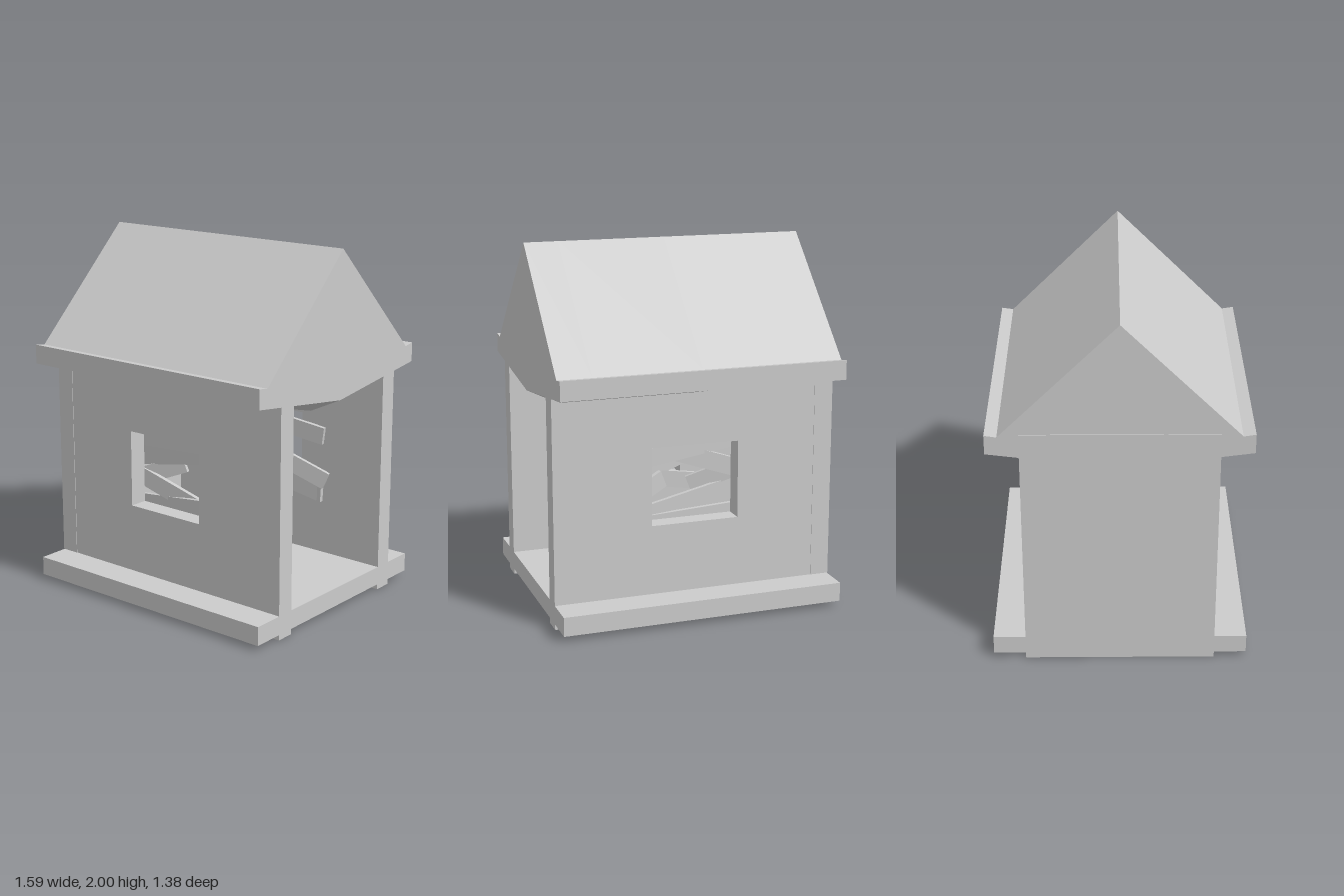
import * as THREE from 'three';

const material = new THREE.MeshStandardMaterial({ color: 0xcccccc, flatShading: true });

function add(parent, name, geometry, x = 0, y = 0, z = 0) {
  const mesh = new THREE.Mesh(geometry, material);
  mesh.name = name;
  mesh.position.set(x, y, z);
  parent.add(mesh);
  return mesh;
}

// Solid roof: gable sections along x whose underside sags in the middle
function roofGeometry() {
  const stations = [[-0.79, 1.195], [-0.2, 1.195], [0, 1.105], [0.6, 1.105], [0.79, 1.195]];
  const sections = stations.map(([x, sag]) => [
    [0, 2], [0.625, 1.38], [0.69, 1.39], [0.69, 1.283],
    [0, sag], [-0.69, 1.283], [-0.69, 1.39], [-0.625, 1.38],
  ].map(([z, y]) => [x, y, z]));
  const n = sections[0].length;
  const positions = [];
  const tri = (a, b, c) => positions.push(...a, ...b, ...c);
  for (let i = 0; i < sections.length - 1; i++) {
    const p = sections[i], q = sections[i + 1];
    for (let j = 0; j < n; j++) {
      const k = (j + 1) % n;
      tri(p[j], p[k], q[k]);
      tri(p[j], q[k], q[j]);
    }
  }
  // Gable ends, fanned from the lowest point of the underside
  const first = sections[0], last = sections[sections.length - 1];
  for (let j = 5; j < 4 + n - 1; j++) {
    const a = j % n, b = (j + 1) % n;
    tri(last[4], last[a], last[b]);
    tri(first[4], first[b], first[a]);
  }
  const geometry = new THREE.BufferGeometry();
  geometry.setAttribute('position', new THREE.Float32BufferAttribute(positions, 3));
  geometry.computeVertexNormals();
  return geometry;
}

// Long wall with a rectangular window opening
function windowWallGeometry() {
  const rect = (shape, x, y0, y1) =>
    shape.moveTo(-x, y0).lineTo(x, y0).lineTo(x, y1).lineTo(-x, y1).closePath();
  const shape = rect(new THREE.Shape(), 0.79, 0, 1.38);
  shape.holes.push(rect(new THREE.Path(), 0.245, 0.52, 0.95));
  return new THREE.ExtrudeGeometry(shape, { depth: 0.105, bevelEnabled: false });
}

// Crooked and broken boards nailed inside a window: x, y, z, length, width, roll, yaw
function windowBoards(name) {
  const boards = [
    [0.05, 0.91, 0.395, 0.7, 0.09, 0.06, 0],
    [0.0, 0.835, 0.365, 0.78, 0.12, 0.2, -0.08],
    [-0.2, 0.69, 0.345, 0.36, 0.1, 0.37, 0.3],
    [0.27, 0.775, 0.345, 0.36, 0.1, 0.4, -0.3],
    [-0.08, 0.59, 0.355, 0.62, 0.1, -0.31, 0.1],
    [0.05, 0.535, 0.37, 0.72, 0.1, 0.13, -0.08],
  ];
  const group = new THREE.Group();
  group.name = name;
  for (const [x, y, z, length, width, roll, yaw] of boards) {
    const board = add(group, 'board', new THREE.BoxGeometry(length, width, 0.025), x, y - 0.71, z);
    board.rotation.set(0, yaw, roll);
  }
  group.position.y = 0.71;
  return group;
}

export function createModel() {
  const house = new THREE.Group();
  house.name = 'house';

  add(house, 'floor', new THREE.BoxGeometry(1.58, 0.105, 1.38), 0, 0.0825, 0);
  add(house, 'roof', roofGeometry());

  // Walls on three sides; the +x end stays open
  const wall = windowWallGeometry();
  add(house, 'frontWall', wall, 0, 0, 0.407);
  add(house, 'backWall', wall, 0, 0, -0.512);
  add(house, 'endWall', new THREE.BoxGeometry(0.105, 1.395, 1.03), -0.7425, 0.6975, 0);

  // The back boards are the front ones turned over about the x axis
  house.add(windowBoards('frontWindowBoards'));
  const back = windowBoards('backWindowBoards');
  back.rotation.x = Math.PI;
  house.add(back);

  return house;
}
